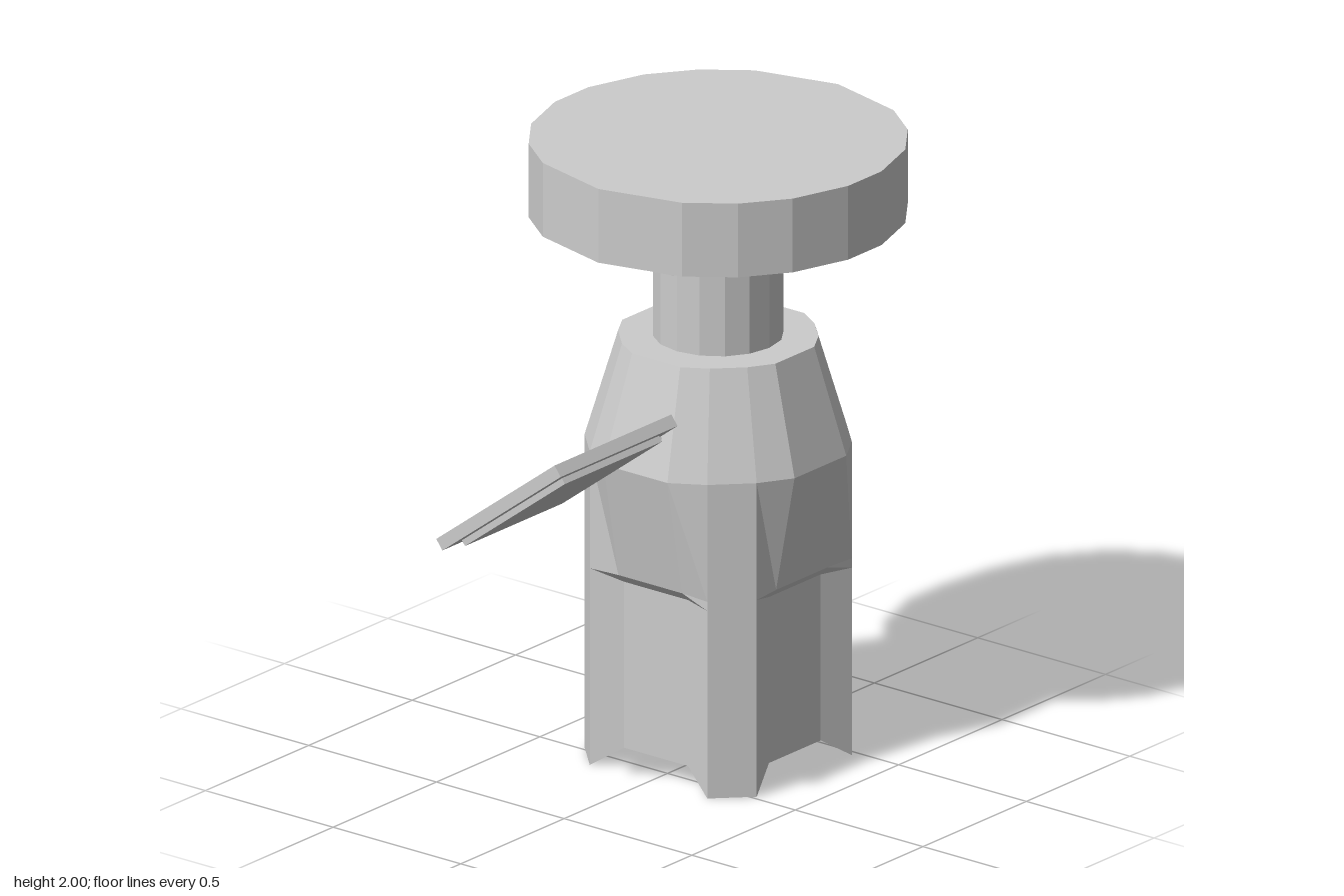
import * as THREE from 'three';

const material = new THREE.MeshStandardMaterial({ color: 0xcccccc, flatShading: true, side: THREE.DoubleSide });
const AXIS_X = 0.245; // vertical axis of the body and head

function add(parent, name, geometry, x = 0, y = 0, z = 0) {
  const mesh = new THREE.Mesh(geometry, material);
  mesh.name = name;
  mesh.position.set(x, y, z);
  parent.add(mesh);
  return mesh;
}

// Section with four-fold symmetry: groove corner (gx, gz, gy), rib corner (rx, rz, ry)
function section(gx, gz, gy, rx, rz, ry) {
  const quarter = [[gx, gy, gz], [rx, ry, rz], [rz, ry, rx], [gz, gy, gx]];
  const ring = [];
  for (let q = 0; q < 4; q++) {
    const c = Math.round(Math.cos(q * Math.PI / 2)), s = Math.round(Math.sin(q * Math.PI / 2));
    for (const [x, y, z] of quarter) ring.push([x * c - z * s, y, x * s + z * c]);
  }
  return ring;
}

// Skin a stack of rings, bottom to top
function loft(rings) {
  const n = rings[0].length, index = [];
  for (let r = 0; r < rings.length - 1; r++) {
    for (let i = 0; i < n; i++) {
      const a = r * n + i, b = r * n + (i + 1) % n, c = b + n, d = a + n;
      if (r < rings.length - 2) index.push(a, d, c);
      if (r > 0) index.push(a, c, b);
    }
  }
  const geometry = new THREE.BufferGeometry();
  geometry.setAttribute('position', new THREE.Float32BufferAttribute(rings.flat(2), 3));
  geometry.setIndex(index);
  const flat = geometry.toNonIndexed();
  flat.computeVertexNormals();
  return flat;
}

// Ribbed body: four corner ribs ending in feet, grooves swelling into a shoulder
function bodyGeometry() {
  const level = (groove, y, ribY = y) => section(groove, 0.125, y, 0.337, 0.23, ribY);
  return loft([
    section(0, 0, 0.07, 0, 0, 0.07),
    section(0.30, 0.125, 0.07, 0.242, 0.183, 0.07),
    level(0.30, 0.07, 0),
    level(0.30, 0.61),
    level(0.328, 0.64),
    level(0.40, 1.02),
    section(0.30, 0.094, 1.36, 0.253, 0.172, 1.36),
    section(0, 0, 1.36, 0, 0, 1.36),
  ]);
}

// Round head with unevenly spaced sides
function headGeometry(radius, height) {
  const shape = new THREE.Shape();
  const half = [0, 28, 45, 62, 82, 98, 118, 135, 152];
  const angles = [...half, ...half.map((a) => a + 180)];
  shape.setFromPoints(angles.map((a) => {
    const t = THREE.MathUtils.degToRad(a);
    return new THREE.Vector2(radius * Math.cos(t), radius * Math.sin(t));
  }));
  return new THREE.ExtrudeGeometry(shape, { depth: height, bevelEnabled: false }).rotateX(-Math.PI / 2);
}

export function createModel() {
  const model = new THREE.Group();
  model.name = 'ribbedPostWithPaddle';

  add(model, 'body', bodyGeometry(), AXIS_X);
  add(model, 'neck', new THREE.CylinderGeometry(0.2, 0.2, 0.42, 16), AXIS_X, 1.56);
  add(model, 'head', headGeometry(0.58, 0.24), AXIS_X, 1.76);
  add(model, 'headUnderside', new THREE.CylinderGeometry(0.5, 0.5, 0.04, 16), AXIS_X, 1.75);

  // Tilted side paddle: front edge high, back edge low
  const paddle = new THREE.Group();
  paddle.name = 'sidePaddle';
  paddle.position.set(0, 1.11, 0.01);
  paddle.rotation.x = -THREE.MathUtils.degToRad(37);
  add(paddle, 'paddlePlate', new THREE.BoxGeometry(0.565, 0.04, 0.58), -0.5475);
  add(paddle, 'paddlePad', new THREE.BoxGeometry(0.47, 0.02, 0.49), -0.545, -0.03);
  add(paddle, 'paddleStem', new THREE.BoxGeometry(0.26, 0.03, 0.14), -0.145);
  model.add(paddle);

  return model;
}
